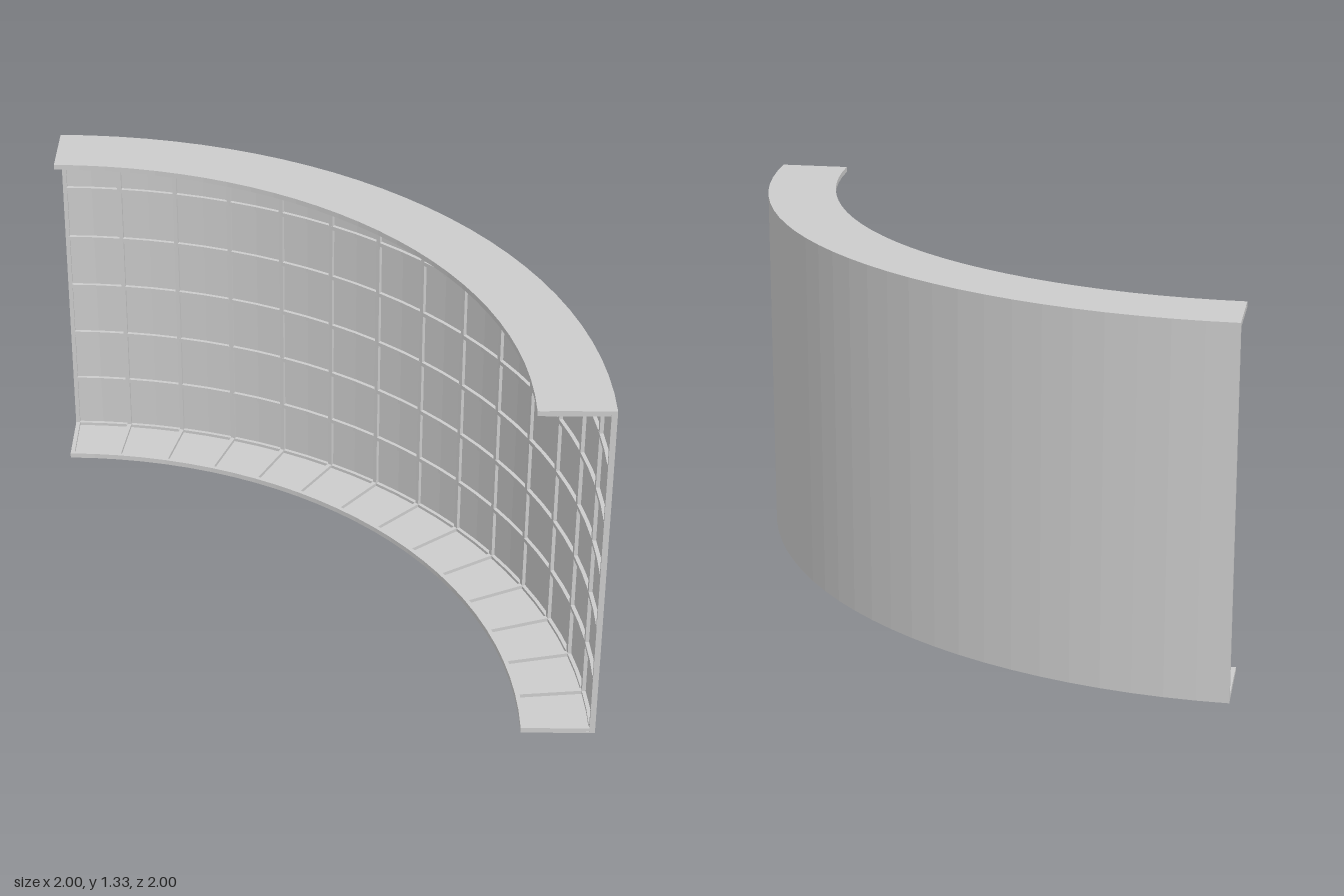
import * as THREE from 'three';

const R = 2, RIN = 1.74, H = 1.325;   // outer radius, flange inner radius, height
const SKIN = 0.006, RIB = 0.016;      // sheet thickness, rib width
const DEPTH = 0.02;                   // sheet plus rib depth
const COLS = 14, ROWS = 6;            // grid cells around and up

const material = new THREE.MeshStandardMaterial({ color: 0xcccccc, flatShading: true });

// Quarter ring between two radii and two heights, centred on the arc's axis
function quarterRing(name, r0, r1, y0, y1) {
  const shape = new THREE.Shape();
  shape.moveTo(r1, 0);
  shape.absarc(0, 0, r1, 0, Math.PI / 2, false);
  shape.lineTo(0, r0);
  shape.absarc(0, 0, r0, Math.PI / 2, 0, true);
  shape.closePath();
  const geo = new THREE.ExtrudeGeometry(shape, { depth: y1 - y0, bevelEnabled: false, curveSegments: COLS });
  geo.rotateX(-Math.PI / 2);
  geo.translate(0, y0, 0);
  const mesh = new THREE.Mesh(geo, material);
  mesh.name = name;
  return mesh;
}

// Straight rib lying in the radial plane at angle a
function radialBar(name, a, r0, r1, y0, y1) {
  const mesh = new THREE.Mesh(new THREE.BoxGeometry(RIB, y1 - y0, r1 - r0), material);
  const r = (r0 + r1) / 2;
  mesh.position.set(r * Math.sin(a), (y0 + y1) / 2, -r * Math.cos(a));
  mesh.rotation.y = -a;
  mesh.name = name;
  return mesh;
}

export function createModel() {
  const model = new THREE.Group();
  model.name = 'curvedPanel';
  const arc = new THREE.Group();
  arc.name = 'quarterArc';
  arc.position.set(-1, 0, 1);
  model.add(arc);

  // Curved wall and the two flanges
  arc.add(quarterRing('wall', R - SKIN, R, 0, H));
  arc.add(quarterRing('bottomFlange', RIN, R - SKIN, 0, SKIN));
  arc.add(quarterRing('topFlange', RIN, R - SKIN, H - SKIN, H));

  // Horizontal ribs on the inside of the wall
  for (let i = 0; i <= ROWS; i++) {
    const y = DEPTH / 2 + (H - DEPTH) * i / ROWS;
    arc.add(quarterRing('horizontalRib', R - DEPTH, R - SKIN, y - RIB / 2, y + RIB / 2));
  }

  // Rim ribs along the free edges of the flanges
  arc.add(quarterRing('bottomRimRib', RIN, RIN + RIB, SKIN, DEPTH));
  arc.add(quarterRing('topRimRib', RIN, RIN + RIB, H - DEPTH, H - SKIN));

  // Upright ribs and the matching flange ribs, the end ones set inside the edge
  for (let i = 0; i <= COLS; i++) {
    const inset = i === 0 ? 1 : i === COLS ? -1 : 0;
    const at = r => i / COLS * Math.PI / 2 + inset * RIB / 2 / r;
    const mid = (RIN + R) / 2;
    arc.add(radialBar('uprightRib', at(R), R - DEPTH, R - SKIN / 2, SKIN, H - SKIN));
    arc.add(radialBar('bottomFlangeRib', at(mid), RIN, R - SKIN, SKIN / 2, DEPTH));
    arc.add(radialBar('topFlangeRib', at(mid), RIN, R - SKIN, H - DEPTH, H - SKIN / 2));
  }
  return model;
}
